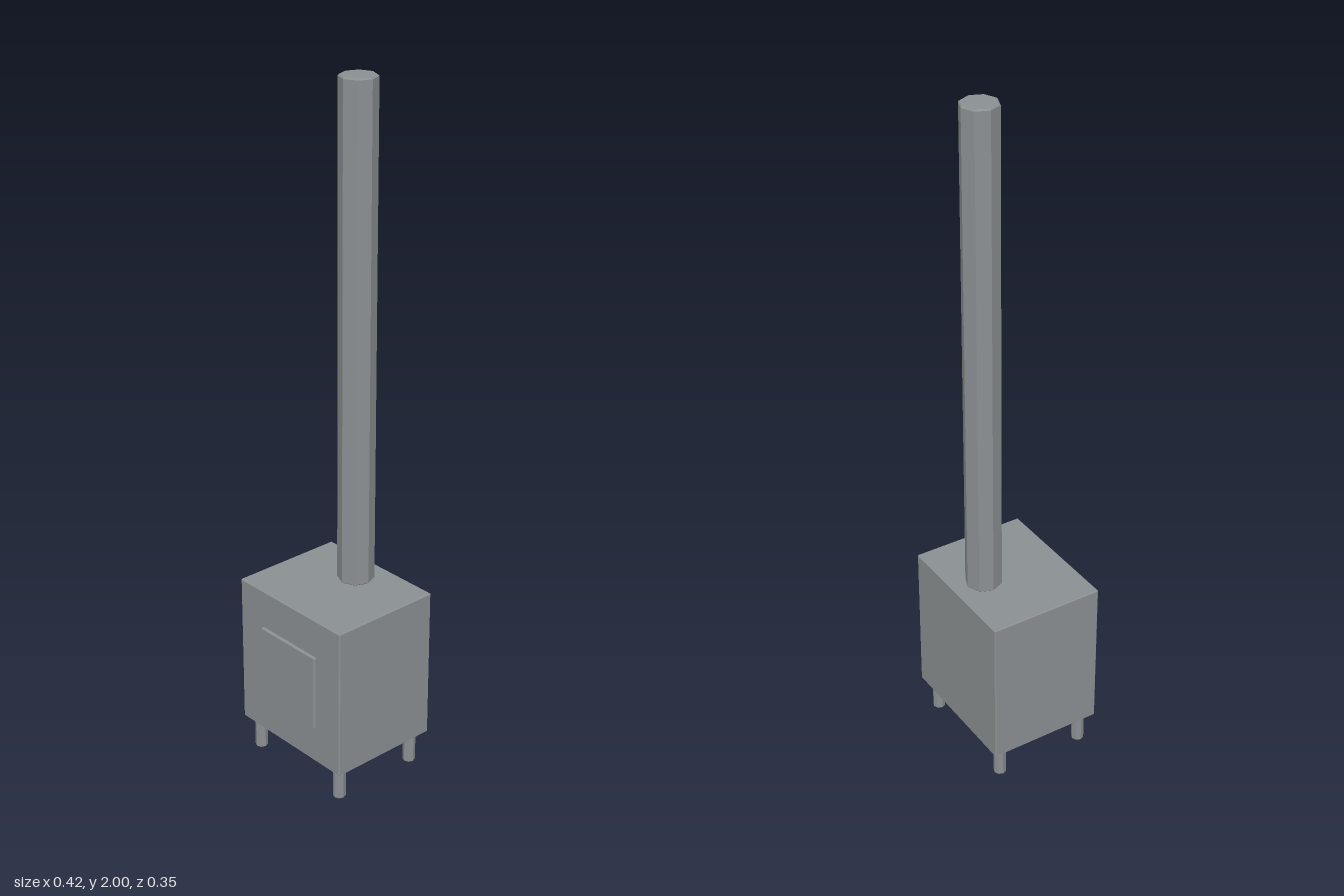
import * as THREE from 'three';
import { ConvexGeometry } from 'three/addons/geometries/ConvexGeometry.js';

// Box between two corners with narrow chamfered edges
function chamferBox(min, max, c) {
  const half = max.map((v, i) => (v - min[i]) / 2);
  const points = [];
  for (const sx of [-1, 1]) for (const sy of [-1, 1]) for (const sz of [-1, 1]) {
    for (let face = 0; face < 3; face++) {
      const d = half.map((h, i) => (i === face ? h : h - c));
      points.push(new THREE.Vector3(sx * d[0], sy * d[1], sz * d[2]));
    }
  }
  return new ConvexGeometry(points).translate(...max.map((v, i) => (v + min[i]) / 2));
}

// Eight-sided post with chamfered ends
function post(radius, bottom, top, c) {
  const profile = [
    [0, bottom], [radius - c, bottom], [radius, bottom + c],
    [radius, top - c], [radius - c, top], [0, top],
  ].map(([x, y]) => new THREE.Vector2(x, y));
  const g = new THREE.LatheGeometry(profile, 8).toNonIndexed();
  g.computeVertexNormals();
  return g;
}

export function createModel() {
  const group = new THREE.Group();
  const iron = new THREE.MeshStandardMaterial({ color: 0x8b9092 });
  iron.name = 'grey iron';

  const add = (name, geometry, x = 0, z = 0) => {
    const mesh = new THREE.Mesh(geometry, iron);
    mesh.name = name;
    mesh.position.set(x, 0, z);
    group.add(mesh);
  };

  // Firebox and its raised front door
  add('firebox', chamferBox([-0.21, 0.098, -0.176], [0.21, 0.556, 0.168], 0.003));
  add('door', chamferBox([-0.114, 0.211, 0.16], [0.114, 0.441, 0.176], 0.003));

  // Tall flue pipe towards the back
  add('flue', post(0.053, 0.554, 2, 0.004), 0, -0.082);

  // Four short legs
  const legGeometry = post(0.0185, 0, 0.1, 0.003);
  for (const x of [-0.172, 0.172]) {
    for (const z of [0.134, -0.138]) add('leg', legGeometry, x, z);
  }

  return group;
}
